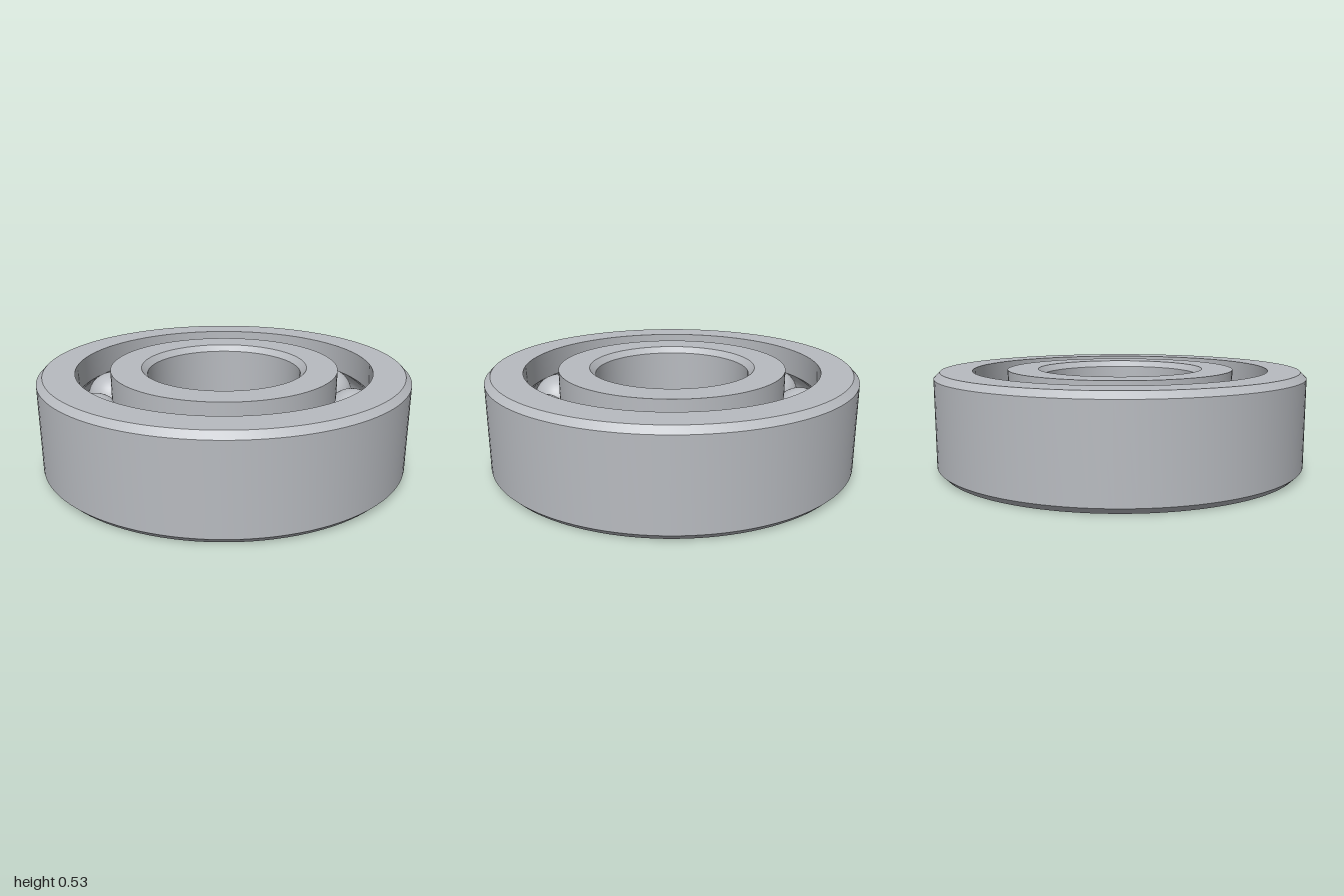
import * as THREE from 'three';
import { toCreasedNormals } from 'three/addons/utils/BufferGeometryUtils.js';

const HEIGHT = 0.53, MID = HEIGHT / 2;
const PITCH = 0.707;      // radius of the circle of ball centres
const BALL = 0.145, GROOVE = 0.147;
const BALL_COUNT = 11, CHAMFER = 0.032;

// Points of the ball groove between two angles around the ball centre
function grooveArc(from, to, steps = 14) {
  return Array.from({ length: steps + 1 }, (_, i) => {
    const a = from + (to - from) * i / steps;
    return [PITCH + GROOVE * Math.cos(a), MID + GROOVE * Math.sin(a)];
  });
}

// Closed counter-clockwise (radius, height) profile turned into a ring
function ring(name, profile, material) {
  const points = [...profile, profile[0]].map(([r, y]) => new THREE.Vector2(r, y));
  const mesh = new THREE.Mesh(toCreasedNormals(new THREE.LatheGeometry(points, 120), 0.5), material);
  mesh.name = name;
  return mesh;
}

export function createModel() {
  const model = new THREE.Group();
  model.name = 'ballBearing';
  const steel = new THREE.MeshStandardMaterial({ color: 0xb8bbc0 });
  steel.name = 'steel';

  // Outer ring, chamfered outside, grooved inside
  const ro = 0.8, ao = Math.acos((ro - PITCH) / GROOVE);
  model.add(ring('outerRing', [
    [ro, 0], [1 - CHAMFER, 0], [1, CHAMFER], [1, HEIGHT - CHAMFER], [1 - CHAMFER, HEIGHT], [ro, HEIGHT],
    ...grooveArc(ao, -ao),
  ], steel));

  // Inner ring, grooved outside, chamfered around the bore
  const ri = 0.615, bore = 0.417, ai = Math.acos((PITCH - ri) / GROOVE);
  model.add(ring('innerRing', [
    [bore + CHAMFER, 0], [ri, 0],
    ...grooveArc(Math.PI + ai, Math.PI - ai),
    [ri, HEIGHT], [bore + CHAMFER, HEIGHT], [bore, HEIGHT - CHAMFER], [bore, CHAMFER],
  ], steel));

  // Balls evenly spaced in the groove
  const balls = new THREE.Group();
  balls.name = 'balls';
  const ballGeometry = new THREE.SphereGeometry(BALL, 40, 24);
  for (let i = 0; i < BALL_COUNT; i++) {
    const a = i / BALL_COUNT * Math.PI * 2;
    const ball = new THREE.Mesh(ballGeometry, steel);
    ball.name = 'ball';
    ball.position.set(PITCH * Math.cos(a), MID, PITCH * Math.sin(a));
    balls.add(ball);
  }
  model.add(balls);
  return model;
}
